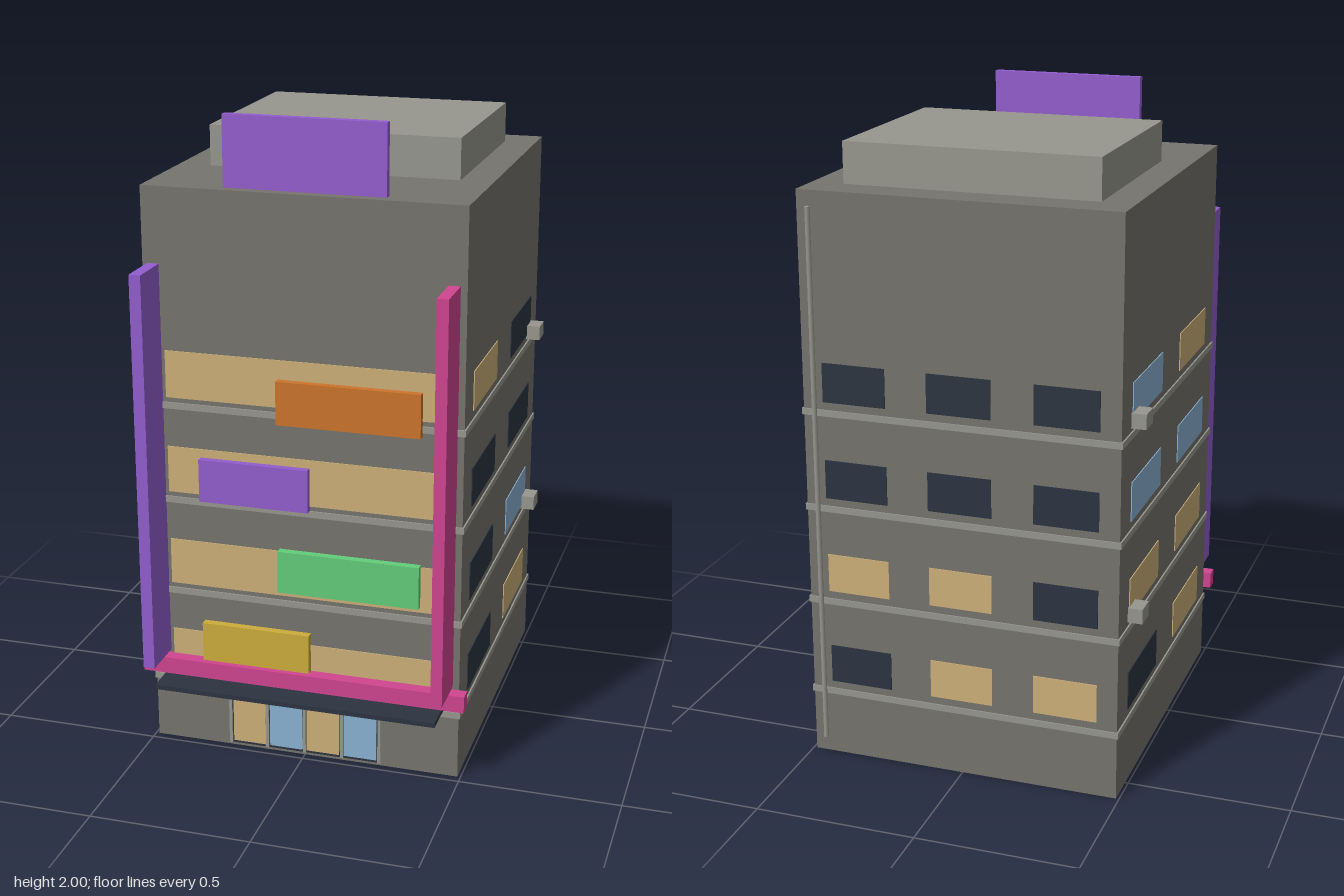
import * as THREE from 'three';

const mat = (name, color) => {
  const m = new THREE.MeshStandardMaterial({ color });
  m.name = name;
  return m;
};

export function createModel() {
  const wall = mat('wall grey', 0x75746e);
  const trim = mat('trim grey', 0x97978f);
  const dark = mat('dark glass', 0x2c3441);
  const warm = mat('lit window', 0xcdb079);
  const blue = mat('blue window', 0x8ab2d2);
  const pink = mat('pink', 0xd04590);
  const purple = mat('purple', 0x935dce);
  const orange = mat('orange', 0xcd742c);
  const green = mat('green', 0x62cd7a);
  const yellow = mat('yellow', 0xcdad3c);

  const model = new THREE.Group();
  model.name = 'building';

  // Box given by its limits on each axis
  const box = (name, material, x0, x1, y0, y1, z0, z1) => {
    const mesh = new THREE.Mesh(new THREE.BoxGeometry(x1 - x0, y1 - y0, z1 - z0), material);
    mesh.position.set((x0 + x1) / 2, (y0 + y1) / 2, (z0 + z1) / 2);
    mesh.name = name;
    model.add(mesh);
    return mesh;
  };

  const W = 0.49, F = 0.473, B = -0.6, H = 1.787; // half width, front, back, roof height
  const storey = 0.303;

  // Main block and rooftop
  box('body', wall, -W, W, 0, H, B, F);
  box('roofHousing', trim, -0.39, 0.39, H, 1.912, -0.49, 0.15);
  box('roofSign', purple, -0.245, 0.245, H, 2, 0.415, 0.44);

  // Window colours per storey, bottom to top
  const rightSide = [[dark, warm], [dark, blue], [dark, dark], [warm, dark]]; // +x face: front, rear
  const leftSide = [[warm, dark], [warm, warm], [blue, blue], [warm, blue]]; // -x face: front, rear
  const rear = [[warm, warm, dark], [dark, warm, warm], [dark, dark, dark], [dark, dark, dark]]; // from -x to +x
  const signs = [yellow, green, purple, orange];
  const sideZ = [[0.042, 0.366], [-0.492, -0.168]];

  for (let i = 0; i < 4; i++) {
    const y = i * storey;
    // Ledge around the block
    box('ledge', trim, -W - 0.005, W + 0.005, 0.2 + y, 0.22 + y, B - 0.004, F + 0.005);
    // Front ribbon window and its sign
    box('frontWindow', warm, -0.428, 0.425, 0.235 + y, 0.382 + y, F, F + 0.003);
    const [s0, s1] = i % 2 ? [-0.075, 0.366] : [-0.322, 0.022];
    const sy = 0.287 + i * 0.27;
    box('shopSign', signs[i], s0, s1, sy, sy + 0.135, F, 0.498);
    // Side windows
    const w0 = 0.244 + y, w1 = 0.365 + y;
    sideZ.forEach(([z0, z1], k) => {
      box('sideWindow', rightSide[i][k], W, W + 0.003, w0, w1, z0, z1);
      box('sideWindow', leftSide[i][k], -W - 0.003, -W, w0, w1, z0, z1);
    });
    // Back windows
    rear[i].forEach((m, k) => {
      const x = (k - 1) * 0.328;
      box('backWindow', m, x - 0.099, x + 0.099, w0, w1, B - 0.003, B);
    });
  }

  // Air conditioners on both sides
  for (const s of [-1, 1]) {
    for (const y of [0.535, 1.14]) {
      const x = s * 0.5125;
      box('airConditioner', trim, x - 0.0225, x + 0.0225, y, y + 0.046, -0.504, -0.434);
    }
  }

  // Drainpipe on the back
  const pipe = new THREE.Mesh(new THREE.CylinderGeometry(0.008, 0.008, 1.69, 8), trim);
  pipe.position.set(0.453, 0.895, -0.607);
  pipe.name = 'drainpipe';
  model.add(pipe);

  // Tall blade signs, fascia band and canopy
  box('bladeSignPurple', purple, -0.475, -0.439, 0.305, 1.555, F, 0.615);
  box('bladeSignPink', pink, 0.435, 0.47, 0.305, 1.555, F, 0.615);
  box('fasciaBand', pink, -0.515, 0.515, 0.243, 0.296, F, 0.516);
  box('canopy', dark, -0.445, 0.445, 0.226, 0.241, F, 0.598);

  // Shopfront: dark backing, four panes, posts between them
  box('shopfront', dark, -0.24, 0.24, 0.01, 0.19, F, F + 0.004);
  for (let i = 0; i < 4; i++) {
    const x = -0.18 + i * 0.12;
    box('shopPane', i % 2 ? blue : warm, x - 0.053, x + 0.053, 0.018, 0.168, F + 0.002, F + 0.006);
  }
  for (let i = 0; i < 5; i++) {
    const x = -0.242 + i * 0.121;
    box('shopPost', trim, x - 0.005, x + 0.005, 0.01, 0.192, F, F + 0.008);
  }

  return model;
}
